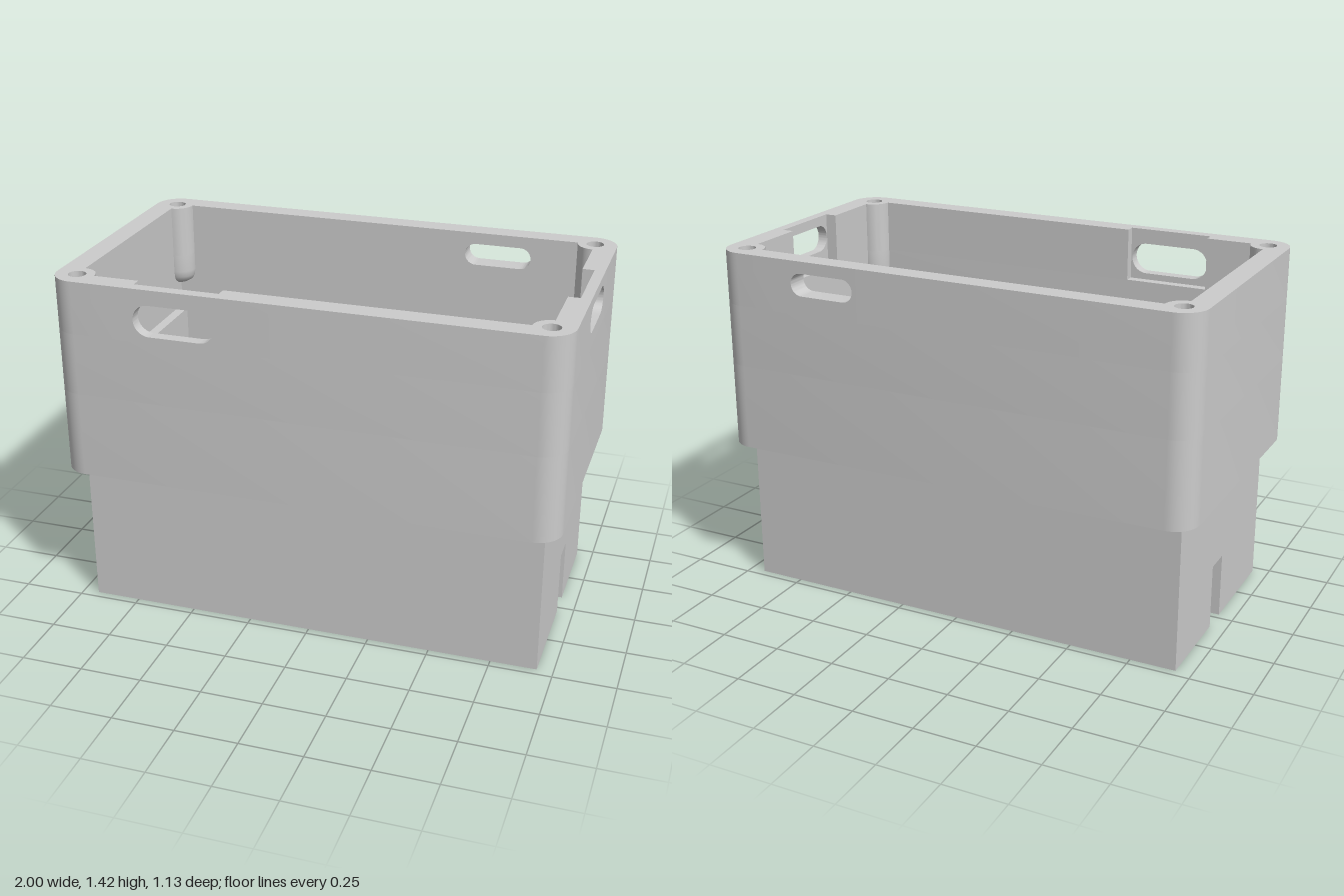
import * as THREE from 'three';
import { toCreasedNormals } from 'three/addons/utils/BufferGeometryUtils.js';

// Main dimensions (half sizes in plan)
const OUT = [1, 0.565], RIM = [0.911, 0.478], LOW = [0.935, 0.468], CAV = [0.87, 0.435];
const FLOOR = 0.07, NOTCH_TOP = 0.263, STEP = 0.612, LEDGE = 0.96, SILL = 1.21, TOP = 1.423;
const NOTCH = [-0.083, 0.028], NOTCH_X = 0.82, BOSS_R = 0.07, SCREW_R = 0.035;

export function createModel() {
  const group = new THREE.Group();
  const grey = new THREE.MeshStandardMaterial({ color: 0xcccccc });
  grey.name = 'grey plastic';

  const add = (name, geometry) => {
    const mesh = new THREE.Mesh(toCreasedNormals(geometry, 0.6), grey);
    mesh.name = name;
    group.add(mesh);
  };
  const extrude = (shape, depth) =>
    new THREE.ExtrudeGeometry(shape, { depth, bevelEnabled: false, curveSegments: 16 });
  // Upright prism from a plan drawn in (x, -z)
  const prism = (name, shape, y0, y1) =>
    add(name, extrude(shape, y1 - y0).rotateX(-Math.PI / 2).translate(0, y0, 0));

  // Plan outline, always counter-clockwise so that holes face the right way
  const plan = (points) => {
    const outline = points.map(([x, z]) => new THREE.Vector2(x, -z));
    return new THREE.Shape(THREE.ShapeUtils.isClockWise(outline) ? outline.reverse() : outline);
  };
  const rect = ([x, z]) => [[-x, -z], [x, -z], [x, z], [-x, z]];
  const arc = (cx, cz, r, a0, a1, n = 10) => Array.from({ length: n + 1 }, (_, i) => {
    const a = a0 + (a1 - a0) * i / n;
    return [cx + r * Math.cos(a), cz + r * Math.sin(a)];
  });
  const drill = (shape, x, z, r) => {
    shape.holes.push(new THREE.Path().absarc(x, -z, r, 0, Math.PI * 2, true));
    return shape;
  };
  const roundRect = ([x, z], r) => [0, 1, 2, 3].flatMap((q) => {
    const sx = q === 0 || q === 3 ? 1 : -1, sz = q < 2 ? 1 : -1;
    return arc(sx * (x - r), sz * (z - r), r, q * Math.PI / 2, (q + 1) * Math.PI / 2);
  });
  const ring = (outer, inner) => {
    const shape = plan(outer);
    shape.holes.push(plan(inner));
    return shape;
  };
  // Rectangle whose ends step out to another x across the notch
  const [n0, n1] = NOTCH;
  const notched = ([x, z], nx) => [
    [-x, -z], [x, -z], [x, n0], [nx, n0], [nx, n1], [x, n1],
    [x, z], [-x, z], [-x, n1], [-nx, n1], [-nx, n0], [-x, n0],
  ];

  // Floor with four drain holes and an open notch at each end
  const floor = plan(notched(LOW, NOTCH_X));
  for (const s of [-1, 1]) {
    drill(floor, s * 0.752, -0.345, 0.088);
    drill(floor, s * 0.763, 0.365, 0.053);
  }
  prism('floor', floor, 0, FLOOR);

  // Lower walls, split by the notches
  const [lx, lz] = LOW, [cx, cz] = CAV;
  for (const [name, s, z] of [['frontLowerWall', 1, n1], ['backLowerWall', -1, n0]]) {
    prism(name, plan([
      [-lx, z], [-lx, s * lz], [lx, s * lz], [lx, z],
      [cx, z], [cx, s * cz], [-cx, s * cz], [-cx, z],
    ]), FLOOR, NOTCH_TOP);
  }

  // Walls above the notches, with a groove up each end to the inner ledge
  const grooved = notched(CAV, RIM[0]);
  const body = roundRect(OUT, 0.1);
  prism('lowerWalls', ring(rect(LOW), grooved), NOTCH_TOP, STEP);
  prism('thickUpperWalls', ring(body, grooved), STEP, LEDGE);
  prism('thinUpperWalls', ring(body, rect(RIM)), LEDGE, SILL);

  // Rim corners with screw holes; arms run to the edge of each window
  const rimCorner = (sx, sz, xEnd, zEnd) => {
    const [ox, oz] = OUT, [ix, iz] = RIM;
    const points = [
      ...arc(ox - 0.1, oz - 0.1, 0.1, Math.PI / 2, 0),
      [ox, zEnd * sz], [ix, zEnd * sz],
      ...arc(ix, iz, BOSS_R, Math.PI * 1.5, Math.PI),
      [xEnd * sx, iz], [xEnd * sx, oz],
    ];
    const shape = drill(plan(points.map(([x, z]) => [x * sx, z * sz])), sx * ix, sz * iz, SCREW_R);
    prism('rimCorner', shape, SILL, TOP);

    // Screw boss hanging below the rim, with a rounded end
    const profile = [[0, 1.07], [0.03, 1.075], [0.055, 1.09], [0.067, 1.11], [BOSS_R, 1.135], [BOSS_R, SILL], [0, SILL]];
    add('screwBoss', new THREE.LatheGeometry(profile.map((p) => new THREE.Vector2(...p)), 32)
      .translate(sx * ix, 0, sz * iz));
  };
  rimCorner(-1, 1, -0.657, 0);
  rimCorner(1, 1, -0.315, 0.158);
  rimCorner(1, -1, 0.66, -0.163);
  rimCorner(-1, -1, 0.36, 0);

  // Wall panels pierced by a rounded slot
  const slotPanel = (u0, u1, s0, s1, y0, y1, depth) => {
    const shape = new THREE.Shape([[u0, SILL], [u1, SILL], [u1, TOP], [u0, TOP]].map((p) => new THREE.Vector2(...p)));
    const r = (y1 - y0) / 2, y = (y0 + y1) / 2, h = Math.PI / 2;
    shape.holes.push(new THREE.Path()
      .absarc(s1 - r, y, r, -h, h, false)
      .absarc(s0 + r, y, r, h, 3 * h, false));
    return extrude(shape, depth);
  };
  add('frontSlotPanel', slotPanel(-0.657, -0.315, -0.648, -0.32, 1.236, 1.362, 0.047).translate(0, 0, 0.518));
  add('backSlotPanel', slotPanel(0.36, 0.66, 0.377, 0.652, 1.285, 1.375, 0.087).translate(0, 0, -OUT[1]));
  add('rightSlotPanel', slotPanel(-0.158, 0.163, -0.155, 0.155, 1.272, 1.382, 0.042)
    .rotateY(Math.PI / 2).translate(0.958, 0, 0));

  // Mounting posts on the end walls, level with the ledge
  for (const [s, z] of [[-1, 0.175], [1, -0.18]]) {
    const outline = [
      [0.9, -0.07], ...arc(0.808, -0.04, 0.03, Math.PI * 1.5, Math.PI),
      ...arc(0.808, 0.04, 0.03, Math.PI, Math.PI / 2), [0.9, 0.07],
    ].map(([x, dz]) => [s * x, z + dz]);
    prism('mountingPost', drill(plan(outline), s * 0.828, z, SCREW_R), 0.64, LEDGE);
    prism('mountingPostBase', plan(outline), 0.62, 0.64);
  }
  return group;
}
